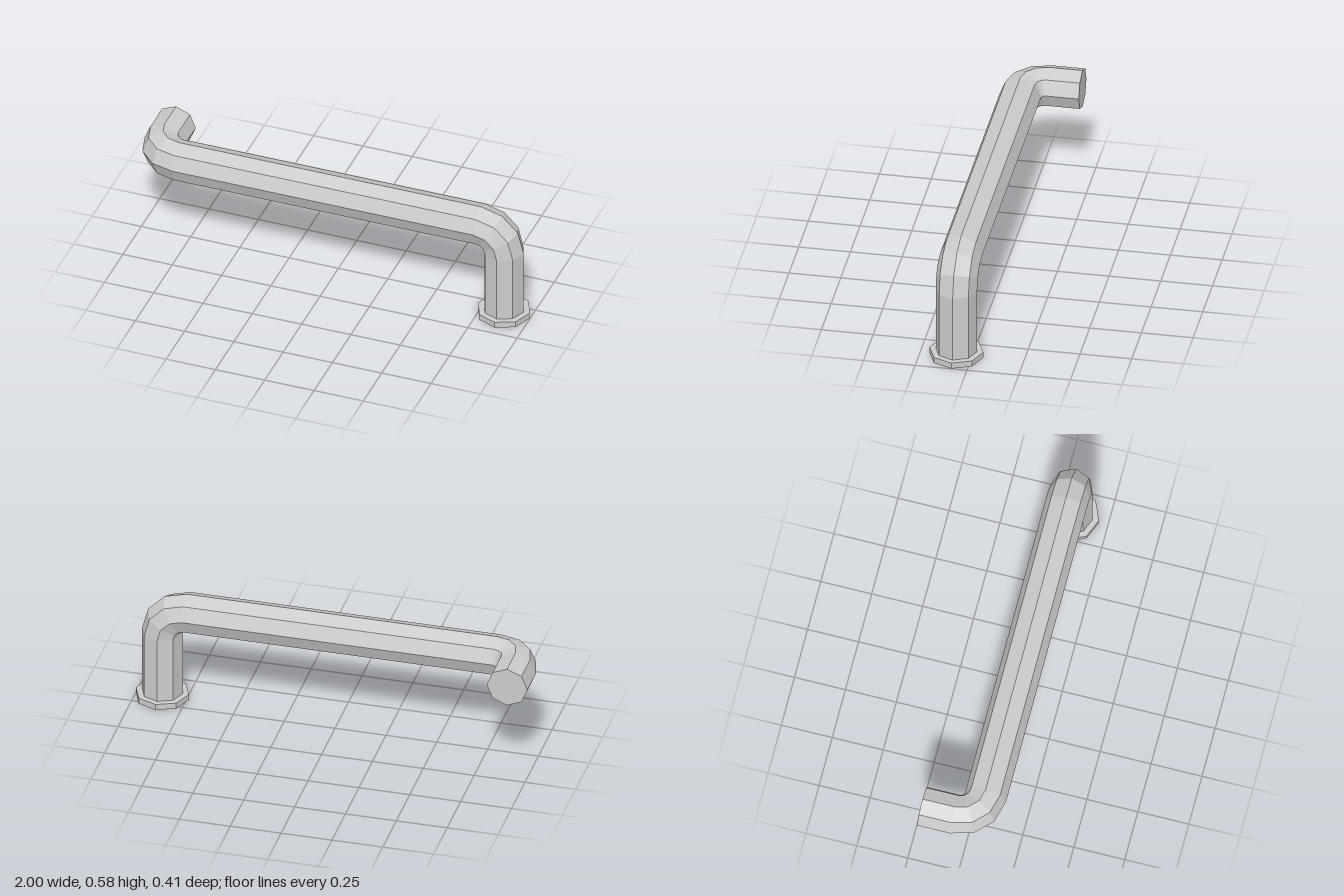
import * as THREE from 'three';

const SIDES = 8, PIPE_R = 0.1, BEND_R = 0.12, BEND_STEPS = 3;
const BAR_Y = 0.485, BAR_Z = 0.075, LEG_X = 0.868, ARM_X = -0.9;
const V = (x, y, z) => new THREE.Vector3(x, y, z);

// Closed faceted tube through rings of { c: centre, u, v: cross-section axes }
function tubeFromRings(rings) {
  const pos = [];
  const tri = (...pts) => pts.forEach(p => pos.push(p.x, p.y, p.z));
  const loops = rings.map(({ c, u, v }) => Array.from({ length: SIDES }, (_, i) => {
    const a = i / SIDES * Math.PI * 2;
    return c.clone().addScaledVector(u, Math.cos(a) * PIPE_R).addScaledVector(v, Math.sin(a) * PIPE_R);
  }));
  const last = rings.length - 1;
  for (let i = 0; i < SIDES; i++) {
    const j = (i + 1) % SIDES;
    for (let k = 0; k < last; k++) {
      const a = loops[k][i], b = loops[k][j], c = loops[k + 1][j], d = loops[k + 1][i];
      tri(a, d, b);
      tri(b, d, c);
    }
    // End caps
    tri(rings[0].c, loops[0][i], loops[0][j]);
    tri(rings[last].c, loops[last][j], loops[last][i]);
  }
  const geo = new THREE.BufferGeometry();
  geo.setAttribute('position', new THREE.Float32BufferAttribute(pos, 3));
  geo.computeVertexNormals();
  return geo;
}

export function createModel() {
  const group = new THREE.Group();
  const mat = new THREE.MeshStandardMaterial({ color: 0xcccccc, flatShading: true });

  // Pipe: up the leg, along the bar, then back into the short arm
  const rings = [{ c: V(LEG_X, 0.015, BAR_Z), u: V(1, 0, 0), v: V(0, 0, 1) }];
  for (let i = 0; i <= BEND_STEPS; i++) {
    const a = i / BEND_STEPS * Math.PI / 2;
    const n = V(Math.cos(a), Math.sin(a), 0);
    rings.push({ c: V(LEG_X - BEND_R, BAR_Y - BEND_R, BAR_Z).addScaledVector(n, BEND_R), u: n, v: V(0, 0, 1) });
  }
  for (let i = 0; i <= BEND_STEPS; i++) {
    const a = i / BEND_STEPS * Math.PI / 2;
    const n = V(-Math.sin(a), 0, Math.cos(a));
    rings.push({ c: V(ARM_X + BEND_R, BAR_Y, BAR_Z - BEND_R).addScaledVector(n, BEND_R), u: V(0, 1, 0), v: n });
  }
  rings.push({ c: V(ARM_X, BAR_Y, -0.204), u: V(0, 1, 0), v: V(-1, 0, 0) });
  const pipe = new THREE.Mesh(tubeFromRings(rings), mat);
  pipe.name = 'bentPipe';
  group.add(pipe);

  // Flange at the foot of the leg
  const flange = new THREE.Mesh(new THREE.CylinderGeometry(0.13, 0.13, 0.03, SIDES), mat);
  flange.position.set(LEG_X, 0.015, BAR_Z);
  flange.name = 'footFlange';
  group.add(flange);

  return group;
}
